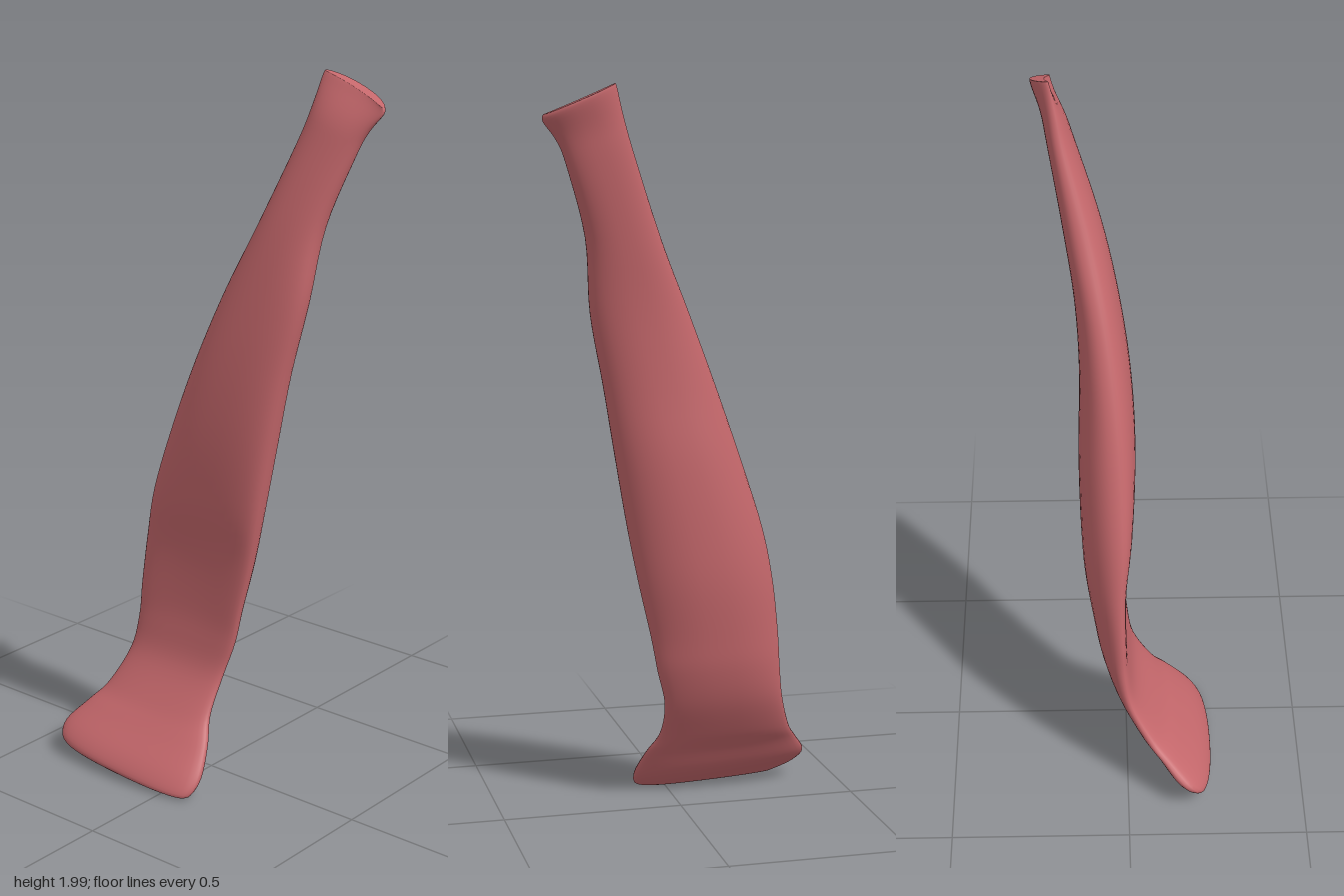
import * as THREE from 'three';

// Cross-sections from foot to tip:
// [y, centre x, centre z, half thickness x, half width z, bow toward +x, end tilt]
const SECTIONS = [
  [0.014, -0.200, -0.140, 0.020, 0.180, 0.000, -0.05],
  [0.032, -0.200, -0.152, 0.043, 0.236, 0.000, -0.08],
  [0.075, -0.165, -0.155, 0.054, 0.251, 0.000, -0.07],
  [0.140, -0.110, -0.146, 0.043, 0.221, 0.000, -0.04],
  [0.200, -0.062, -0.143, 0.038, 0.188, 0.003, 0],
  [0.300, -0.006, -0.125, 0.034, 0.170, 0.010, 0],
  [0.400, 0.015, -0.105, 0.040, 0.175, 0.020, 0],
  [0.500, 0.020, -0.091, 0.045, 0.181, 0.030, 0],
  [0.650, 0.026, -0.064, 0.057, 0.189, 0.035, 0],
  [0.800, 0.025, -0.033, 0.072, 0.188, 0.030, 0],
  [1.000, 0.032, 0.018, 0.078, 0.172, 0.020, 0],
  [1.200, 0.045, 0.072, 0.070, 0.153, 0.010, 0],
  [1.400, 0.070, 0.132, 0.060, 0.133, 0.005, 0],
  [1.600, 0.112, 0.185, 0.052, 0.100, 0.000, 0],
  [1.800, 0.163, 0.254, 0.037, 0.089, 0.000, -0.15],
  [1.880, 0.180, 0.284, 0.030, 0.088, 0.006, -0.33],
  [1.940, 0.192, 0.312, 0.022, 0.097, 0.025, -0.42],
  [1.957, 0.195, 0.315, 0.018, 0.094, 0.028, -0.42],
];
const SIDES = 40, STEPS = 5;

// Catmull-Rom blend of every section value
function sectionAt(t) {
  const last = SECTIONS.length - 1;
  const i = Math.min(Math.floor(t), last - 1), f = t - i;
  const row = (k) => SECTIONS[Math.max(0, Math.min(last, k))];
  const [a, b, c, d] = [row(i - 1), row(i), row(i + 1), row(i + 2)];
  return b.map((v, k) => v + 0.5 * f * (c[k] - a[k]
    + f * (2 * a[k] - 5 * v + 4 * c[k] - d[k] + f * (3 * (v - c[k]) + d[k] - a[k]))));
}

function strapGeometry() {
  const pos = [], index = [];
  const rings = (SECTIONS.length - 1) * STEPS + 1;
  const soft = (v) => Math.sign(v) * Math.abs(v) ** 0.9;

  // Rings of the strap
  for (let i = 0; i < rings; i++) {
    const [y, cx, cz, hx, hz, bow, tilt] = sectionAt(i / STEPS);
    for (let j = 0; j < SIDES; j++) {
      const a = (j / SIDES) * Math.PI * 2;
      const s = soft(Math.sin(a)), c = soft(Math.cos(a));
      pos.push(cx + hx * s + bow * s * s, y + tilt * hz * c, cz + hz * c);
    }
  }
  for (let i = 0; i < rings - 1; i++) {
    for (let j = 0; j < SIDES; j++) {
      const a = i * SIDES + j, b = i * SIDES + (j + 1) % SIDES;
      index.push(a, b, b + SIDES, a, b + SIDES, a + SIDES);
    }
  }

  // End caps, closed strip by strip between mirrored points
  const cap = (start, up) => {
    for (let j = 0; j < SIDES / 2; j++) {
      const a = start + j, b = start + j + 1;
      const d = start + (SIDES - j) % SIDES, c = start + SIDES - j - 1;
      const quad = up ? [a, b, c, a, c, d] : [a, c, b, a, d, c];
      index.push(...quad);
    }
  };
  cap(0, false);
  cap((rings - 1) * SIDES, true);

  const geometry = new THREE.BufferGeometry();
  geometry.setAttribute('position', new THREE.Float32BufferAttribute(pos, 3));
  geometry.setIndex(index);
  geometry.computeVertexNormals();
  return geometry;
}

export function createModel() {
  const group = new THREE.Group();
  group.name = 'muscle';
  const flesh = new THREE.MeshStandardMaterial({ color: 0xc4676b });
  flesh.name = 'flesh red';
  const strap = new THREE.Mesh(strapGeometry(), flesh);
  strap.name = 'muscleStrap';
  group.add(strap);
  return group;
}
